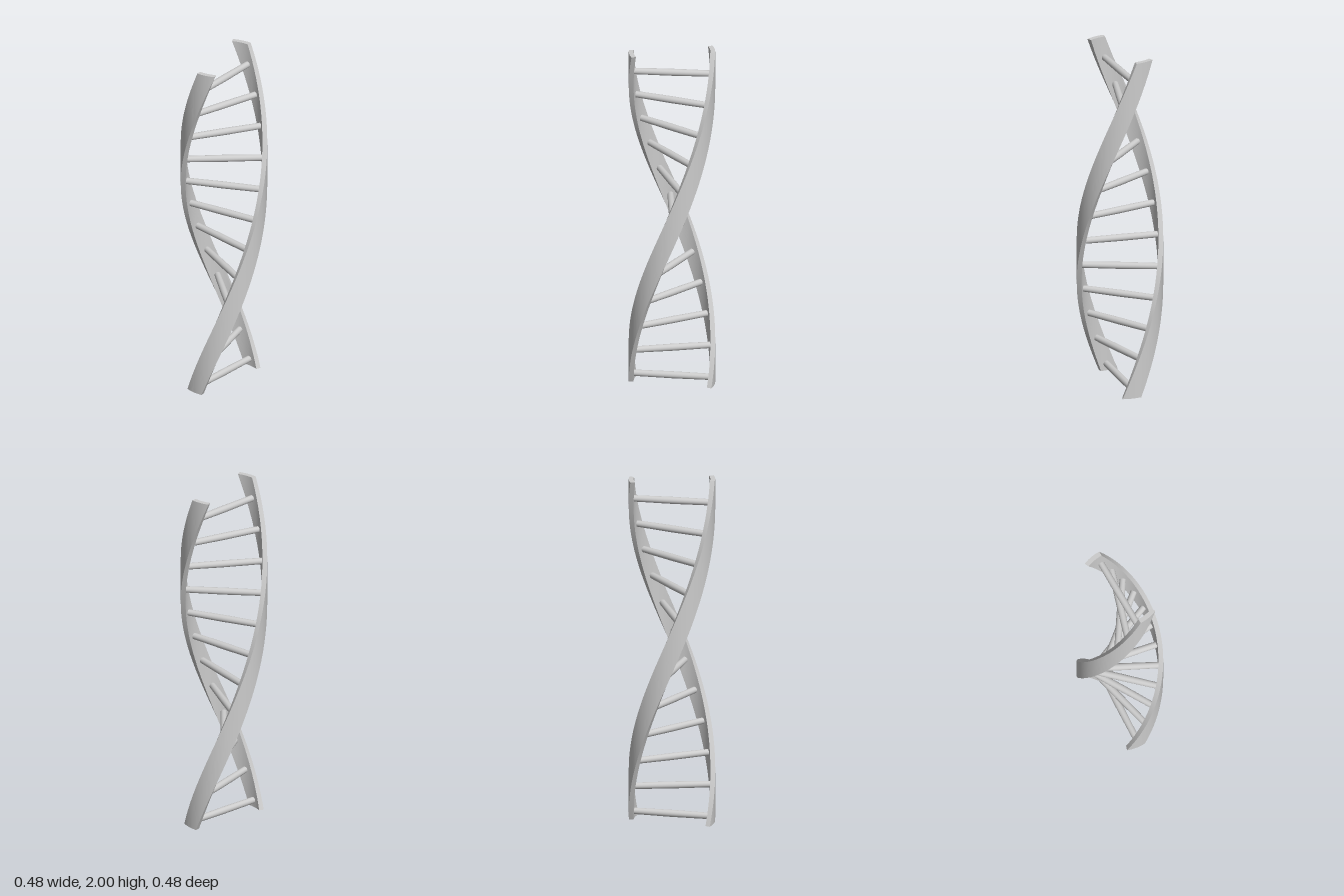
import * as THREE from 'three';
import { toCreasedNormals } from 'three/addons/utils/BufferGeometryUtils.js';

const HEIGHT = 2;
const OUTER = 0.241;
const INNER = 0.214;
const HALF_WIDTH = THREE.MathUtils.degToRad(13); // half the angle a strand covers
const TWIST = THREE.MathUtils.degToRad(99.7);    // turn per unit of height
const RUNGS = 12;

// Curved ribbon section extruded upwards, then twisted about the y axis
function strandGeometry() {
  const mid = -Math.PI / 2;
  const shape = new THREE.Shape();
  shape.absarc(0, 0, OUTER, mid - HALF_WIDTH, mid + HALF_WIDTH, false);
  shape.absarc(0, 0, INNER, mid + HALF_WIDTH, mid - HALF_WIDTH, true);
  shape.closePath();
  const geometry = new THREE.ExtrudeGeometry(shape, {
    depth: HEIGHT, steps: 100, curveSegments: 6, bevelEnabled: false,
  });
  geometry.rotateX(-Math.PI / 2);

  const position = geometry.attributes.position;
  const axis = new THREE.Vector3(0, 1, 0);
  const v = new THREE.Vector3();
  for (let i = 0; i < position.count; i++) {
    v.fromBufferAttribute(position, i);
    v.applyAxisAngle(axis, v.y * TWIST);
    position.setXYZ(i, v.x, v.y, v.z);
  }
  return toCreasedNormals(geometry, Math.PI / 5);
}

export function createModel() {
  const model = new THREE.Group();
  model.name = 'doubleHelix';
  const material = new THREE.MeshStandardMaterial({ color: 0xcccccc });

  // Two opposite strands
  const ribbon = strandGeometry();
  ['frontStrand', 'backStrand'].forEach((name, i) => {
    const strand = new THREE.Mesh(ribbon, material);
    strand.name = name;
    strand.rotation.y = i * Math.PI;
    model.add(strand);
  });

  // Rungs, each made of two half bars meeting on the axis
  const length = INNER + 0.006;
  const halfBar = new THREE.CylinderGeometry(0.018, 0.02, length, 24);
  halfBar.translate(0, length / 2, 0);
  halfBar.rotateX(Math.PI / 2);
  for (let i = 0; i < RUNGS; i++) {
    const rung = new THREE.Group();
    rung.name = `rung${i + 1}`;
    rung.position.y = 0.04 + i * 0.1668;
    rung.rotation.y = rung.position.y * TWIST;
    for (let side = 0; side < 2; side++) {
      const half = new THREE.Mesh(halfBar, material);
      half.name = side ? 'backHalfRung' : 'frontHalfRung';
      half.rotation.y = side * Math.PI;
      rung.add(half);
    }
    model.add(rung);
  }
  return model;
}
